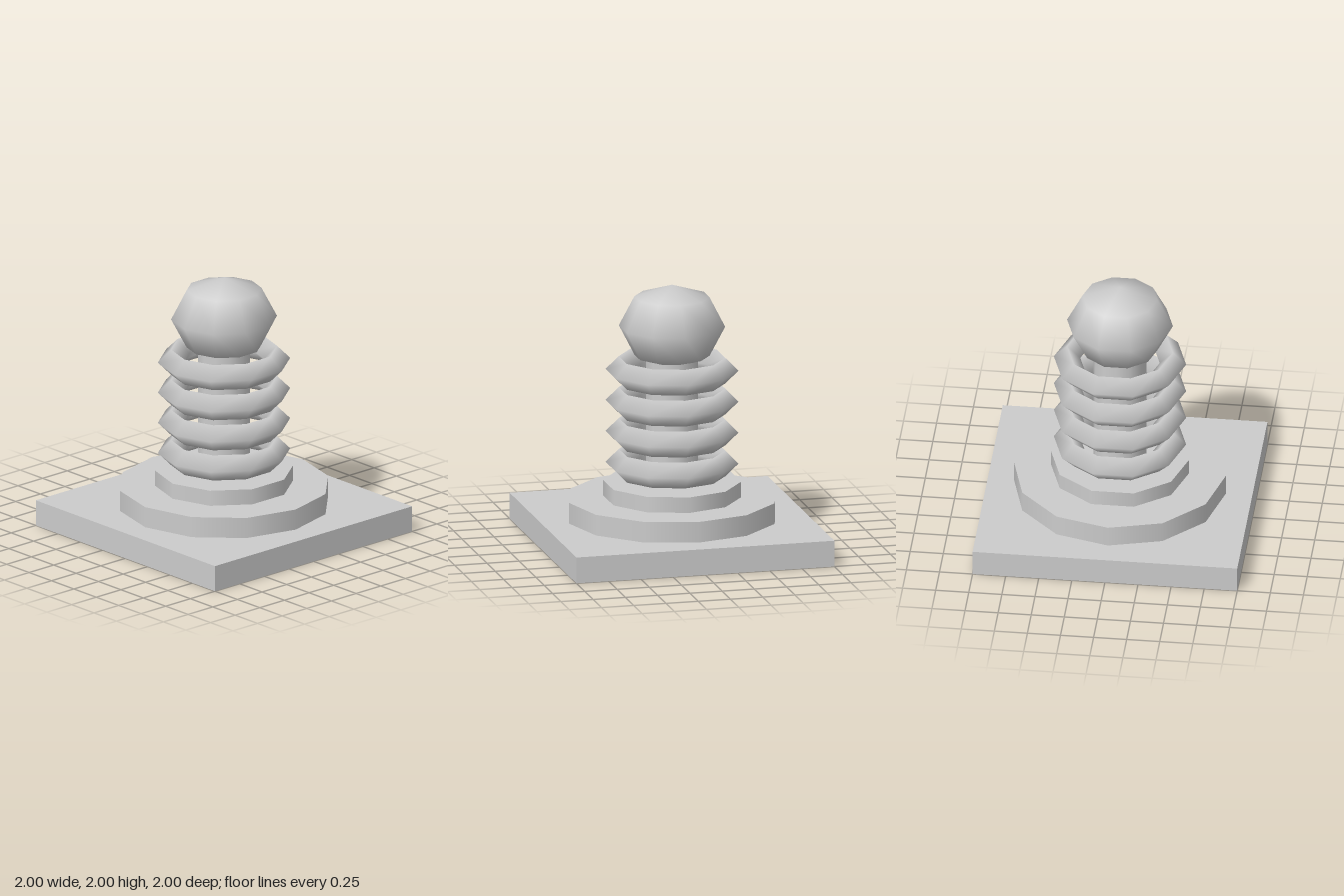
import * as THREE from 'three';

export function createModel() {
  const model = new THREE.Group();
  const grey = new THREE.MeshStandardMaterial({ color: 0xcccccc });
  grey.name = 'grey';

  const add = (name, geometry, y) => {
    const mesh = new THREE.Mesh(geometry, grey);
    mesh.name = name;
    mesh.position.y = y;
    model.add(mesh);
    return mesh;
  };

  // Stepped base
  add('basePlate', new THREE.BoxGeometry(2, 0.2, 2), 0.1);
  add('lowerStep', new THREE.CylinderGeometry(0.8, 0.8, 0.16, 12), 0.28);
  add('upperStep', new THREE.CylinderGeometry(0.52, 0.52, 0.12, 10).rotateY(Math.PI / 2), 0.42);

  // Column through the rings
  add('column', new THREE.CylinderGeometry(0.2, 0.2, 0.96, 12), 0.96);

  // Four diamond-section rings
  const ring = new THREE.TorusGeometry(0.4, 0.1, 4, 10).rotateX(Math.PI / 2);
  for (let i = 0; i < 4; i++) add(`ring${i + 1}`, ring, 0.62 + i * 0.24);

  // Slightly flattened ball on top
  add('ball', new THREE.SphereGeometry(0.4, 10, 4), 1.68).scale.y = 0.8;

  return model;
}
